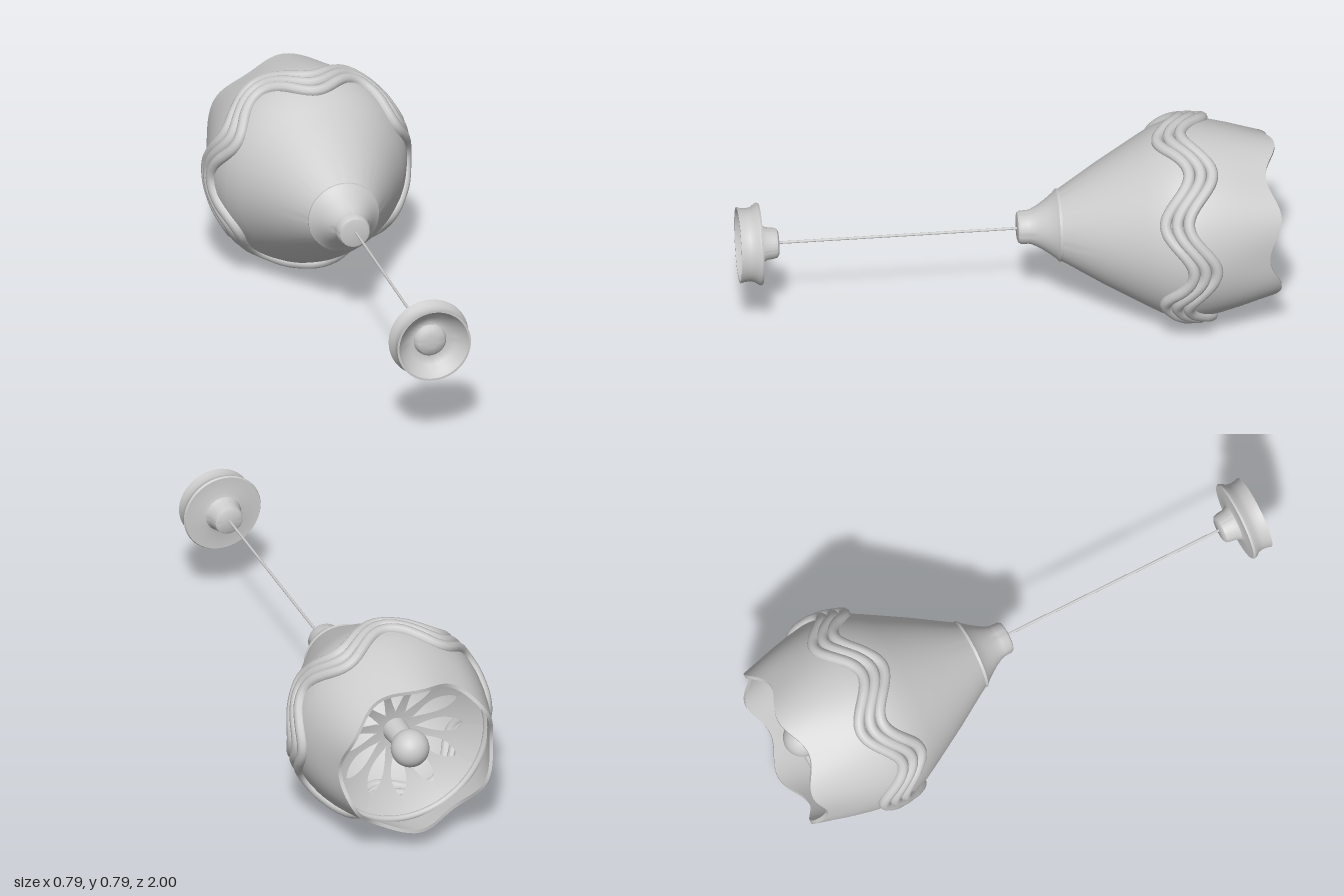
import * as THREE from 'three';
import { toCreasedNormals } from 'three/addons/utils/BufferGeometryUtils.js';

const material = new THREE.MeshStandardMaterial({ color: 0xcccccc, side: THREE.DoubleSide });

// Outer profile of the shade, [radius, height along the lamp axis], rim first.
const shadeProfile = [
  [0.31, -1], [0.325, -0.94], [0.343, -0.87], [0.36, -0.79], [0.371, -0.72], [0.374, -0.67], [0.368, -0.62],
  [0.348, -0.56], [0.315, -0.5], [0.225, -0.345], [0.15, -0.225], [0.132, -0.195],
];

function shadeRadius(h) {
  for (let i = 1; i < shadeProfile.length; i++) {
    const [r0, h0] = shadeProfile[i - 1], [r1, h1] = shadeProfile[i];
    if (h <= h1) return r0 + (r1 - r0) * (h - h0) / (h1 - h0);
  }
  return shadeProfile.at(-1)[0];
}

function addMesh(group, name, geometry) {
  const mesh = new THREE.Mesh(geometry, material);
  mesh.name = name;
  group.add(mesh);
  return mesh;
}

const turned = (points, segments = 48) =>
  new THREE.LatheGeometry(points.map(([r, h]) => new THREE.Vector2(r, h)), segments);

// Double-walled shade whose lower part is stretched into six scallops.
function shadeGeometry() {
  const inner = shadeProfile.map(([r, h]) => [r - 0.014, h]).reverse();
  const geometry = turned([...inner, ...shadeProfile].concat([inner[0]]), 96);
  const p = geometry.attributes.position;
  for (let i = 0; i < p.count; i++) {
    const t = Math.max(0, (-0.7 - p.getY(i)) / 0.3);
    const angle = Math.atan2(p.getX(i), p.getZ(i));
    p.setY(i, p.getY(i) + t * 0.024 * (1 - Math.cos(6 * angle)));
  }
  return toCreasedNormals(geometry, 0.7);
}

// A wavy rib that follows the shade's surface.
function ribGeometry(offset) {
  const points = [];
  for (let i = 0; i < 72; i++) {
    const a = i / 72 * Math.PI * 2;
    const h = -0.656 + 0.05 * Math.cos(6 * a) + offset;
    const r = shadeRadius(h) + 0.001;
    points.push(new THREE.Vector3(r * Math.sin(a), h, r * Math.cos(a)));
  }
  return new THREE.TubeGeometry(new THREE.CatmullRomCurve3(points, true), 192, 0.022, 10, true);
}

// One spoke of the dish: the strip between two neighbouring petal openings.
function spokeGeometry(index, count) {
  const geometry = new THREE.PlaneGeometry(1, 1, 6, 28);
  const p = geometry.attributes.position;
  for (let i = 0; i < p.count; i++) {
    const r = 0.03 + (p.getY(i) + 0.5) * 0.3;
    const t = THREE.MathUtils.clamp((r - 0.08) / 0.175, 0, 1);
    const half = 0.03 * Math.pow(Math.max(0, Math.sin(Math.PI * Math.pow(t, 1.4))), 0.7);
    const width = 2 * Math.PI / count - 2 * half / r;
    const a = (index + 0.5) / count * 2 * Math.PI + p.getX(i) * width;
    p.setXYZ(i, r * Math.sin(a), -0.75 - 0.11 * (r / 0.33) ** 2, r * Math.cos(a));
  }
  geometry.computeVertexNormals();
  return geometry;
}

export function createModel() {
  const model = new THREE.Group();
  model.name = 'pendantLamp';

  // Parts are made along y, then laid down so the ceiling plate faces the front.
  const lamp = new THREE.Group();
  lamp.name = 'lamp';
  lamp.rotation.x = Math.PI / 2;
  lamp.position.y = 0.392;
  model.add(lamp);

  // Shade and its wavy band
  addMesh(lamp, 'shade', shadeGeometry());
  const band = new THREE.Group();
  band.name = 'wavyBand';
  lamp.add(band);
  for (const offset of [-0.043, 0, 0.043]) addMesh(band, 'rib', ribGeometry(offset));

  // Flared neck
  addMesh(lamp, 'neck', toCreasedNormals(turned([
    [0, -0.2], [0.135, -0.2], [0.136, -0.19], [0.122, -0.178], [0.1, -0.15], [0.08, -0.12], [0.067, -0.095],
    [0.063, -0.08], [0.062, -0.052], [0.056, -0.042], [0.046, -0.039], [0, -0.039],
  ]), 0.7));

  // Pierced dish inside the shade
  const dish = new THREE.Group();
  dish.name = 'petalDish';
  lamp.add(dish);
  const petals = 12;
  for (let i = 0; i < petals; i++) addMesh(dish, 'spoke', spokeGeometry(i, petals));
  const ring = addMesh(dish, 'dishRing', new THREE.TorusGeometry(0.322, 0.013, 10, 72));
  ring.rotation.x = Math.PI / 2;
  ring.position.y = -0.86;

  // Bulb and holder
  const holder = addMesh(lamp, 'bulbHolder', new THREE.CylinderGeometry(0.05, 0.042, 0.15, 32));
  holder.position.y = -0.79;
  const bulb = addMesh(lamp, 'bulb', new THREE.SphereGeometry(0.072, 32, 20));
  bulb.position.y = -0.898;

  // Cord
  const cord = addMesh(lamp, 'cord', new THREE.CylinderGeometry(0.005, 0.005, 0.9, 12));
  cord.position.set(0.005, 0.405, 0);

  // Ceiling plate with stem, grooved edge, hollow face and central boss
  const plate = addMesh(lamp, 'ceilingPlate', toCreasedNormals(turned([
    [0, 0.85], [0.044, 0.85], [0.054, 0.856], [0.058, 0.87], [0.061, 0.895], [0.07, 0.912], [0.085, 0.917],
    [0.15, 0.917], [0.154, 0.924], [0.15, 0.934], [0.14, 0.947], [0.136, 0.965], [0.138, 0.985], [0.142, 1],
    [0.134, 1], [0.122, 0.982], [0.095, 0.957], [0.068, 0.942], [0.062, 0.943], [0.06, 0.952],
    [0.05, 0.962], [0.025, 0.967], [0, 0.968],
  ], 64), 0.7));
  plate.position.x = 0.006;

  return model;
}
